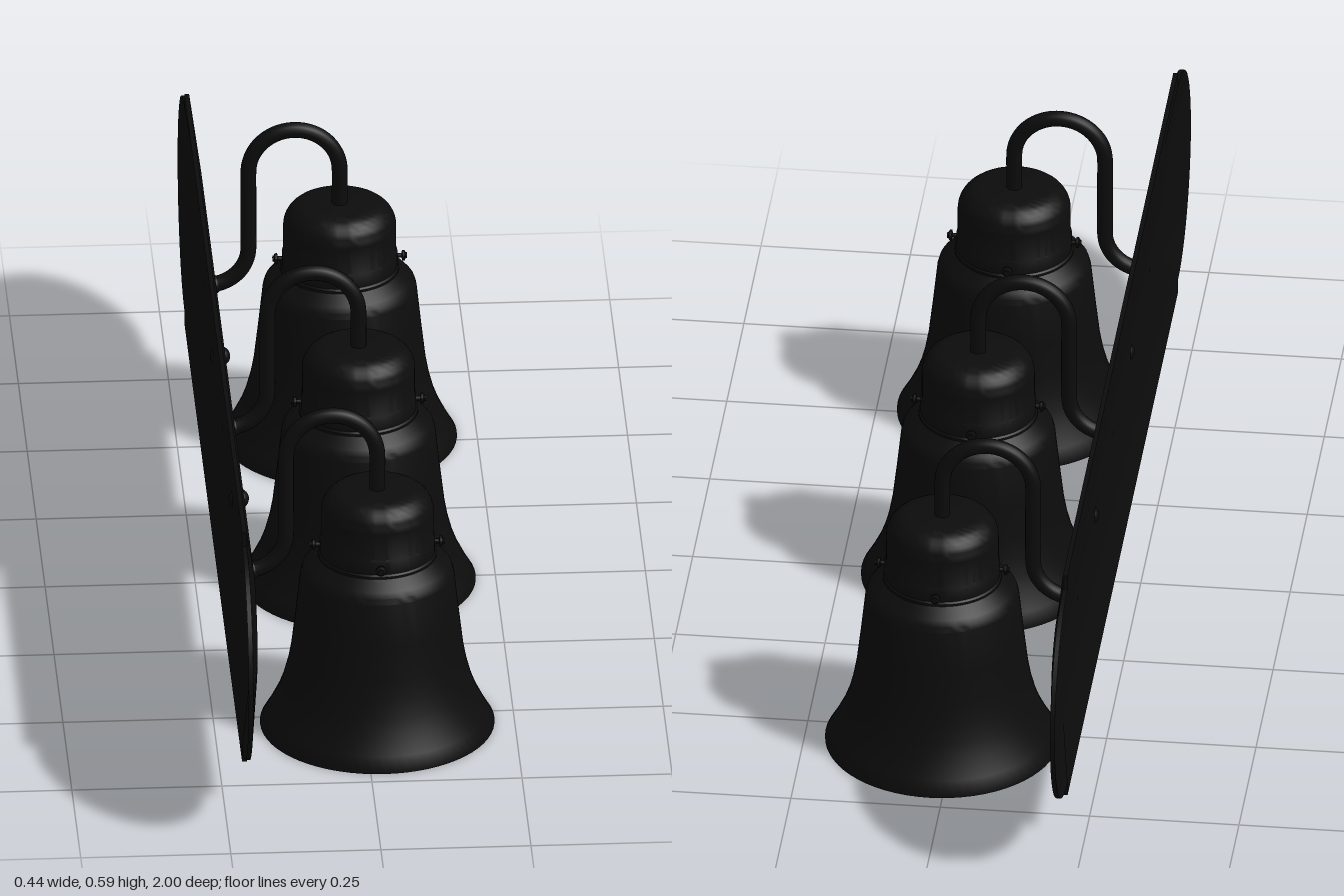
import * as THREE from 'three';
import { toCreasedNormals } from 'three/addons/utils/BufferGeometryUtils.js';

const black = new THREE.MeshStandardMaterial({ color: 0x0c0c0c, side: THREE.DoubleSide });
const teal = new THREE.MeshStandardMaterial({ color: 0x12a89e });
const MID_Y = 0.288; // height of the plate's centre line
const SHADE_X = 0.022;

function add(parent, name, geometry, material, x = 0, y = 0, z = 0) {
  const mesh = new THREE.Mesh(geometry, material);
  mesh.name = name;
  mesh.position.set(x, y, z);
  parent.add(mesh);
  return mesh;
}

function lathe(points, segments = 64) {
  const profile = points.map(([r, y]) => new THREE.Vector2(r, y));
  return toCreasedNormals(new THREE.LatheGeometry(profile, segments), 0.6);
}

// Stadium outline in z and y; a shoulder above zero adds square corners
function outline(zc, r, shoulder) {
  const half = [[zc, -shoulder]];
  for (let i = 0; i <= 24; i++) {
    const a = -Math.PI / 2 + (i / 24) * Math.PI;
    half.push([zc + r * Math.cos(a), r * Math.sin(a)]);
  }
  half.push([zc, shoulder]);
  return [...half, ...half.map(([z, y]) => [-z, -y])];
}

// Bevelled wall plate with a shallow hollow back
function plateGeometry() {
  const outer = outline(0.81, 0.188, 0.213);
  const inner = outline(0.737, 0.103, 0.103);
  const rings = [[inner, -0.196], [outer, -0.212], [outer, -0.22], [inner, -0.204]];
  const n = outer.length;
  const pos = [];
  const index = [];
  for (const [ring, x] of rings) for (const [z, y] of ring) pos.push(x, y + MID_Y, z);
  for (let k = 0; k < rings.length - 1; k++) {
    for (let i = 0; i < n; i++) {
      const a = k * n + i, b = k * n + (i + 1) % n;
      index.push(a, a + n, b, b, a + n, b + n);
    }
  }
  // flat faces, front and back
  const back = 3 * n;
  for (let i = 1; i < n - 1; i++) {
    index.push(0, i, i + 1);
    index.push(back, back + i + 1, back + i);
  }
  // make the front face look towards +x
  for (let i = 0; i < index.length; i += 3) {
    [index[i + 1], index[i + 2]] = [index[i + 2], index[i + 1]];
  }
  const geometry = new THREE.BufferGeometry();
  geometry.setAttribute('position', new THREE.Float32BufferAttribute(pos, 3));
  geometry.setIndex(index);
  return toCreasedNormals(geometry, 0.15);
}

// Gooseneck centre line: straight runs joined by arcs
function armGeometry() {
  const pts = [[SHADE_X, 0.425], [SHADE_X, 0.46]];
  for (let i = 0; i <= 16; i++) {
    const a = (i / 16) * Math.PI;
    pts.push([-0.054 + 0.076 * Math.cos(a), 0.496 + 0.076 * Math.sin(a)]);
  }
  pts.push([-0.13, 0.45], [-0.13, 0.40]);
  for (let i = 0; i <= 8; i++) {
    const a = -(i / 8) * Math.PI / 2;
    pts.push([-0.197 + 0.067 * Math.cos(a), 0.355 + 0.067 * Math.sin(a)]);
  }
  const curve = new THREE.CatmullRomCurve3(pts.map(([x, y]) => new THREE.Vector3(x, y, 0)));
  return new THREE.TubeGeometry(curve, 90, 0.0132, 16);
}

function createLamp() {
  const lamp = new THREE.Group();
  lamp.name = 'lamp';
  add(lamp, 'arm', armGeometry(), black);
  add(lamp, 'armFoot', new THREE.SphereGeometry(0.016, 20, 14), black, -0.189, MID_Y, 0);

  // bell shade: outer wall, and an inner wall set in by its thickness
  const wall = [
    [0.195, 0.003], [0.182, 0.025], [0.167, 0.055], [0.157, 0.082], [0.149, 0.112], [0.143, 0.145],
    [0.136, 0.205], [0.128, 0.28], [0.125, 0.29], [0.118, 0.298], [0.103, 0.31], [0.094, 0.318],
  ];
  const inside = wall.map(([r, y]) => [r - 0.005, y]).reverse();
  add(lamp, 'shade', lathe([...inside, [0.192, 0], [0.195, 0], ...wall]), black, SHADE_X);

  // fitter cap with a rounded top and a collar
  const cap = [[0, 0.336], [0.09, 0.336], [0.09, 0.314], [0.099, 0.314], [0.099, 0.318], [0.096, 0.321],
    [0.096, 0.344], [0.094, 0.347], [0.094, 0.394]];
  for (let i = 1; i <= 8; i++) {
    const a = (i / 8) * Math.PI / 2;
    cap.push([0.053 + 0.041 * Math.cos(a), 0.394 + 0.041 * Math.sin(a)]);
  }
  cap.push([0, 0.435]);
  add(lamp, 'fitterCap', lathe(cap), black, SHADE_X);

  // four thumbscrews around the collar
  const screw = [[0, 0.085], [0.004, 0.085], [0.004, 0.103], [0.009, 0.104], [0.009, 0.108],
    [0.005, 0.11], [0.005, 0.112], [0, 0.112]];
  for (let i = 0; i < 4; i++) {
    const pivot = new THREE.Group();
    pivot.name = 'thumbscrew';
    pivot.position.set(SHADE_X, 0.333, 0);
    pivot.rotation.y = i * Math.PI / 2;
    add(pivot, 'screw', lathe(screw, 16), black).rotation.z = -Math.PI / 2;
    lamp.add(pivot);
  }

  // socket and bulb inside the shade
  add(lamp, 'socket', new THREE.CylinderGeometry(0.034, 0.034, 0.11, 32), black, SHADE_X, 0.285, 0);
  const bulb = [];
  for (let i = 0; i <= 14; i++) {
    const a = -Math.PI / 2 + (i / 14) * Math.PI * 0.72;
    bulb.push([0.062 * Math.cos(a), 0.1 + 0.062 * Math.sin(a)]);
  }
  bulb[0][0] = 0;
  bulb.push([0.037, 0.17], [0.03, 0.2], [0.028, 0.24]);
  add(lamp, 'bulb', lathe(bulb, 40), teal, SHADE_X);
  return lamp;
}

export function createModel() {
  const model = new THREE.Group();
  model.name = 'wallLight';
  add(model, 'wallPlate', plateGeometry(), black);
  for (const z of [-0.263, 0.263]) {
    add(model, 'plateKnob', new THREE.SphereGeometry(0.017, 20, 14), black, -0.193, MID_Y, z);
  }
  for (const z of [-0.527, 0, 0.527]) {
    const lamp = createLamp();
    lamp.position.z = z;
    model.add(lamp);
  }
  return model;
}
